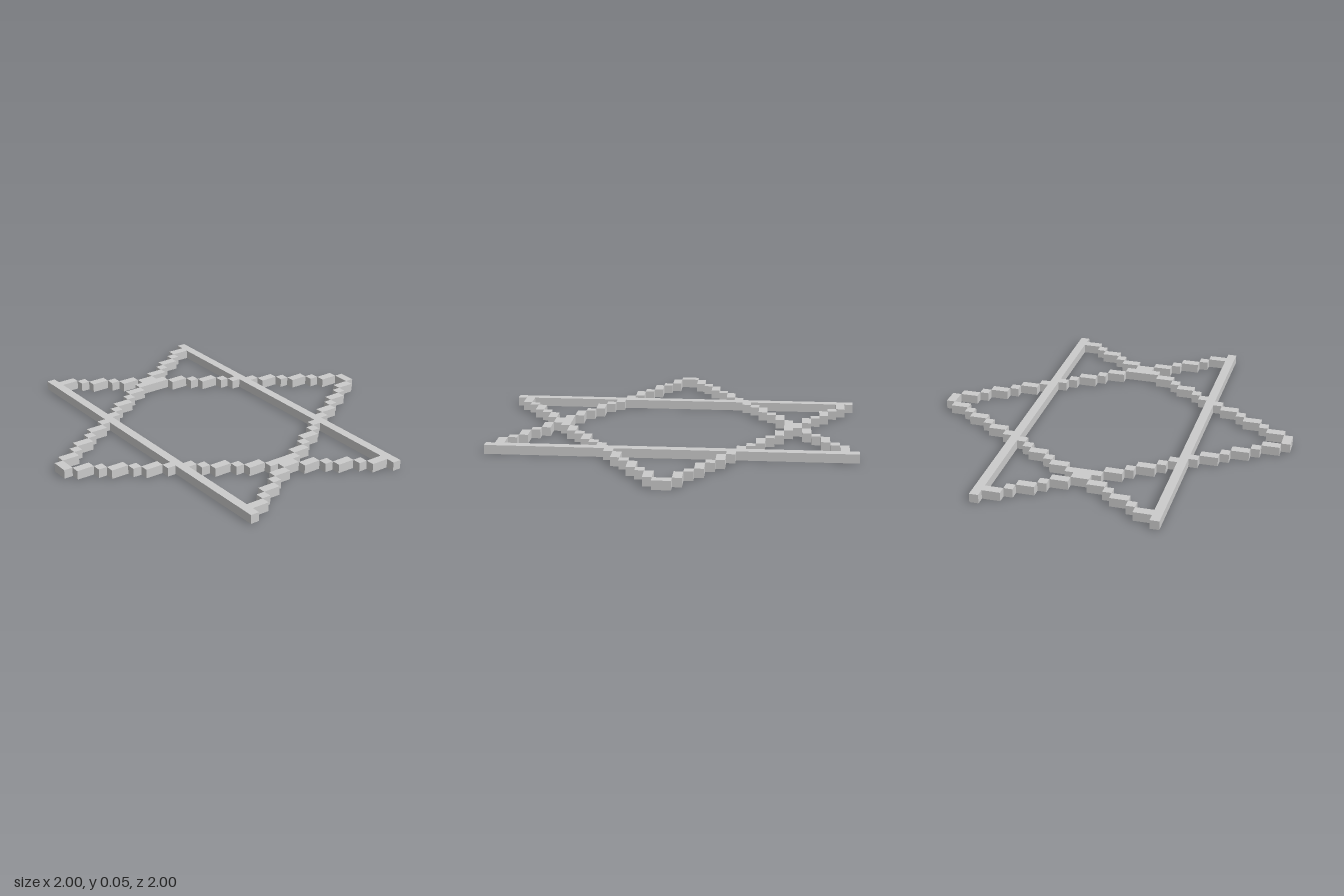
import * as THREE from 'three';
import { mergeGeometries } from 'three/addons/utils/BufferGeometryUtils.js';

const U = 0.05; // edge of one grid block

export function createModel() {
  const group = new THREE.Group();
  const material = new THREE.MeshStandardMaterial({ color: 0xcccccc, flatShading: true });

  // Block spanning grid columns x0..x1 and rows z0..z1, one unit high
  const block = (x0, x1, z0, z1) =>
    new THREE.BoxGeometry((x1 - x0) * U, U, (z1 - z0) * U)
      .translate((x0 + x1) * U / 2, U / 2, (z0 + z1) * U / 2);

  const add = (name, parts) => {
    const mesh = new THREE.Mesh(mergeGeometries(parts), material);
    mesh.name = name;
    group.add(mesh);
  };

  // Stepped run: columns from c0 on, rows moving by each step length in turn
  const stairs = (c0, row, steps, sx, sz) => steps.map((n, i) => {
    const c = c0 + i, far = row, near = row - n;
    row = near;
    return block(...(sx > 0 ? [c, c + 1] : [-c - 1, -c]), ...(sz > 0 ? [near, far] : [-far, -near]));
  });

  for (const sz of [1, -1]) {
    const end = sz > 0 ? 'front' : 'back';

    // Straight side of each triangle
    add(`${end}Bar`, [sz > 0 ? block(-20, 20, 9, 10) : block(-20, 20, -10, -9)]);

    for (const sx of [1, -1]) {
      const side = sx > 0 ? 'Left' : 'Right';
      // Slanted side from the point to the bar
      add(`${end}${side}PointArm`, stairs(0, 20, [1, 2, 1, 2, 1, 2, 1], sx, sz));
      // Slanted side from the bar to the side crossing
      add(`${end}${side}InnerArm`, stairs(7, 9, [1, 1, 2, 1, 2], sx, sz));
      // Slanted side from the side crossing out to the bar's corner
      add(`${end}${side}CornerArm`, stairs(14, 3, [2], sx, sz).concat(
        stairs(15, 4, [1], sx, sz), stairs(16, 6, [2], sx, sz),
        stairs(17, 7, [1], sx, sz), stairs(18, 9, [2], sx, sz)));
    }
  }

  // Where the slanted sides cross
  for (const sx of [1, -1]) {
    add(sx > 0 ? 'leftCrossing' : 'rightCrossing', sx > 0
      ? [block(12, 13, -2, 2), block(13, 14, -1, 1)]
      : [block(-13, -12, -2, 2), block(-14, -13, -1, 1)]);
  }

  return group;
}
